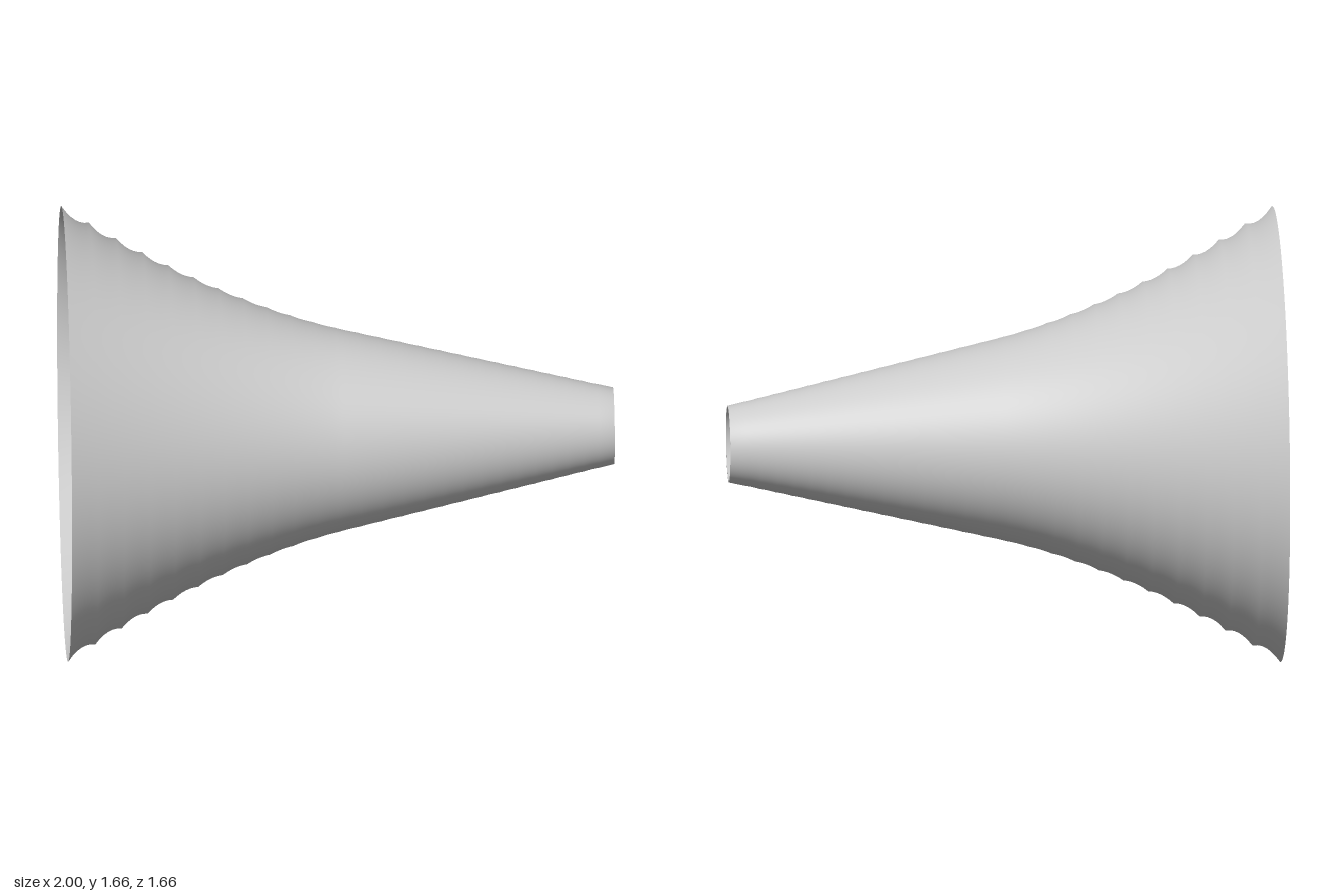
import * as THREE from 'three';

const WIDE_RADIUS = 0.83;
const RINGS = 26;
const STEPS = 6; // samples per scalloped ring

// Radius of the smooth flare: a straight cone that widens for x < 0
const flare = (x) => 0.37 - 0.23 * x + 0.23 * Math.pow(Math.max(0, -x), 1.75);

// Ring edges lie closer together toward the narrow end
const ringX = (i) => {
  const t = i / RINGS;
  return -1 + 2 * (1.3 * t - 0.3 * t * t);
};

// Profile of the wall; each ring sags inward between two sharp ridges
function wallProfile(scalloped) {
  const points = [];
  for (let i = 0; i < RINGS; i++) {
    const x0 = ringX(i), x1 = ringX(i + 1);
    const sag = 0.0015 + 0.019 * Math.pow(Math.max(0, -x0), 1.6);
    const steps = i === RINGS - 1 ? 1 : STEPS;
    for (let j = 0; j < steps; j++) {
      const t = j / steps;
      const x = x0 + (x1 - x0) * t;
      const r = scalloped
        ? THREE.MathUtils.lerp(flare(x0), flare(x1), t) - sag * 4 * t * (1 - t)
        : flare(x);
      points.push(new THREE.Vector2(r, x));
    }
  }
  // Narrow end with a small lip turned inward
  points.push(new THREE.Vector2(flare(1), 1), new THREE.Vector2(0.135, 1));
  return points;
}

export function createModel() {
  const group = new THREE.Group();
  group.name = 'horn';

  // Scalloped shell shaded with the normals of the smooth flare
  const geometry = new THREE.LatheGeometry(wallProfile(true), 128);
  const smooth = new THREE.LatheGeometry(wallProfile(false), 128);
  geometry.setAttribute('normal', smooth.getAttribute('normal'));
  geometry.rotateZ(-Math.PI / 2);

  const shell = new THREE.Mesh(
    geometry,
    new THREE.MeshStandardMaterial({ color: 0xcccccc, side: THREE.DoubleSide })
  );
  shell.name = 'flaredShell';
  shell.position.y = WIDE_RADIUS;
  group.add(shell);
  return group;
}
